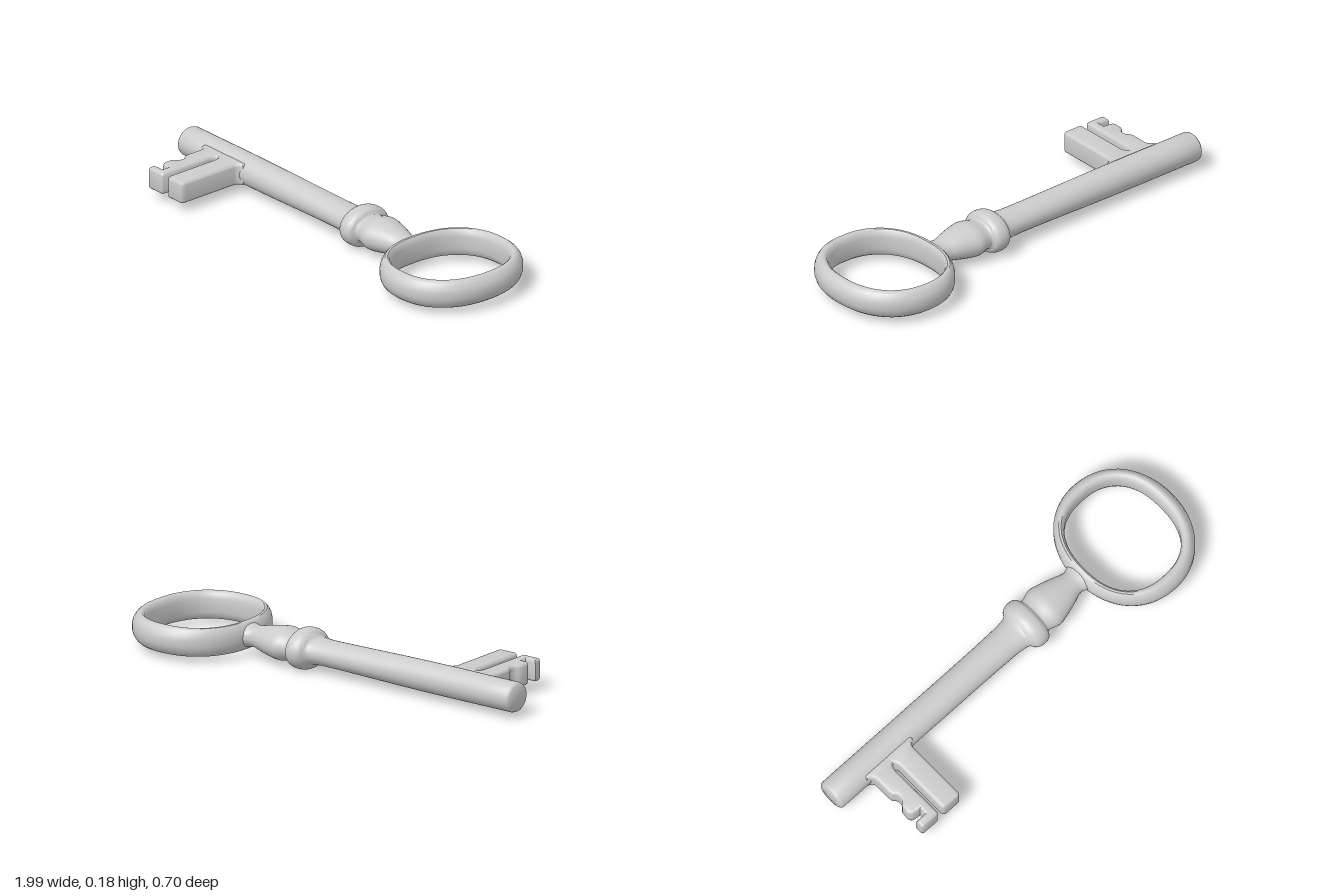
import * as THREE from 'three';
import { toCreasedNormals } from 'three/addons/utils/BufferGeometryUtils.js';

const AXIS_Y = 0.09, AXIS_Z = -0.038;
const material = new THREE.MeshStandardMaterial({ color: 0xcccccc });

// Skin a grid of cross-sections; every section is a closed loop
function skin(sections, closed) {
  const n = sections[0].length, m = sections.length, index = [];
  for (let i = 0; i < (closed ? m : m - 1); i++) {
    for (let j = 0; j < n; j++) {
      const a = i * n + j, b = i * n + (j + 1) % n;
      const c = ((i + 1) % m) * n + j, d = ((i + 1) % m) * n + (j + 1) % n;
      index.push(a, b, c, b, d, c);
    }
  }
  const geo = new THREE.BufferGeometry();
  geo.setAttribute('position', new THREE.Float32BufferAttribute(sections.flat(2), 3));
  geo.setIndex(index);
  return toCreasedNormals(geo, 0.8);
}

function part(name, geometry) {
  const mesh = new THREE.Mesh(geometry, material);
  mesh.name = name;
  return mesh;
}

// Shaft, collar and baluster neck: oval stations of [x, half height, half width]
function shaftGeometry() {
  const stations = [
    [-0.985, 0.066, 0.07], [-0.5, 0.066, 0.07], [0, 0.057, 0.073], [0.06, 0.058, 0.077],
    [0.09, 0.062, 0.085], [0.105, 0.078, 0.105], [0.125, 0.088, 0.116], [0.16, 0.089, 0.117],
    [0.178, 0.08, 0.108], [0.19, 0.063, 0.088], [0.205, 0.063, 0.088], [0.25, 0.073, 0.101],
    [0.3, 0.069, 0.091], [0.36, 0.058, 0.073], [0.415, 0.047, 0.056], [0.445, 0.05, 0.07], [0.47, 0.055, 0.09],
  ];
  const curve = new THREE.CatmullRomCurve3(stations.map(s => new THREE.Vector3(...s)));
  const steps = (stations.length - 1) * 4;
  const rows = [[-1, 0, 0], [-1, 0.056, 0.06], [-0.994, 0.063, 0.067]];
  for (let i = 0; i <= steps; i++) rows.push(curve.getPoint(i / steps).toArray());
  rows.push([0.47, 0, 0]);
  return skin(rows.map(([x, ry, rz]) => Array.from({ length: 32 }, (_, j) => {
    const a = j / 32 * Math.PI * 2;
    return [x, AXIS_Y + ry * Math.cos(a), AXIS_Z + rz * Math.sin(a)];
  })), false);
}

// Bow: slightly squared ring, rounded outside and flatter inside
function bowGeometry() {
  // [blend from outer to inner outline, height]
  const upper = [[0, 0.015], [0.1, 0.034], [0.3, 0.052], [0.5, 0.062], [0.72, 0.062], [0.9, 0.052], [1, 0.03]];
  const profile = [...upper, ...upper.map(([k, h]) => [k, -h]).reverse()];
  const power = (v, n) => Math.sign(v) * Math.abs(v) ** (2 / n);
  const lerp = THREE.MathUtils.lerp;
  return skin(Array.from({ length: 64 }, (_, i) => {
    const t = (i + 0.5) / 64 * Math.PI * 2;
    return profile.map(([k, h]) => {
      const n = lerp(2.1, 2.4, k);
      return [
        lerp(0.715, 0.706, k) + lerp(0.28, 0.22, k) * power(Math.cos(t), n),
        AXIS_Y + h,
        -0.036 + lerp(0.315, 0.25, k) * power(Math.sin(t), n),
      ];
    });
  }), true);
}

// Bit: outline in x and z, extruded through the height with softened edges
function bitGeometry(shape) {
  const bevel = 0.014;
  const geo = new THREE.ExtrudeGeometry(shape, {
    depth: 0.1 - 2 * bevel, bevelThickness: bevel, bevelSize: bevel,
    bevelOffset: -bevel, bevelSegments: 3, curveSegments: 5,
  });
  geo.rotateX(Math.PI / 2);
  geo.translate(0, 0.14 - bevel, 0);
  return toCreasedNormals(geo, 0.8);
}

function plainBit() {
  const s = new THREE.Shape();
  s.moveTo(-0.73, 0);
  s.lineTo(-0.575, 0);
  s.lineTo(-0.575, 0.025);
  s.quadraticCurveTo(-0.6, 0.03, -0.6, 0.055);
  s.lineTo(-0.6, 0.325);
  s.quadraticCurveTo(-0.6, 0.345, -0.62, 0.345);
  s.lineTo(-0.68, 0.345);
  s.quadraticCurveTo(-0.7, 0.345, -0.7, 0.325);
  s.lineTo(-0.7, 0.08);
  s.quadraticCurveTo(-0.7, 0.045, -0.73, 0.04);
  return s;
}

function notchedBit() {
  const s = new THREE.Shape();
  s.moveTo(-0.845, 0);
  s.lineTo(-0.7, 0);
  s.lineTo(-0.7, 0.04);
  s.quadraticCurveTo(-0.727, 0.045, -0.727, 0.08);
  s.lineTo(-0.727, 0.33);
  s.quadraticCurveTo(-0.727, 0.345, -0.742, 0.345);
  s.lineTo(-0.81, 0.345);
  s.quadraticCurveTo(-0.823, 0.345, -0.823, 0.33);
  s.lineTo(-0.823, 0.305);
  s.lineTo(-0.771, 0.305);
  s.lineTo(-0.771, 0.275);
  s.lineTo(-0.805, 0.272);
  s.quadraticCurveTo(-0.823, 0.265, -0.822, 0.24);
  s.bezierCurveTo(-0.822, 0.19, -0.796, 0.21, -0.796, 0.175);
  s.bezierCurveTo(-0.796, 0.15, -0.816, 0.16, -0.816, 0.13);
  s.lineTo(-0.816, 0.055);
  s.quadraticCurveTo(-0.816, 0.03, -0.845, 0.025);
  return s;
}

export function createModel() {
  const key = new THREE.Group();
  key.name = 'key';
  key.add(
    part('shaft', shaftGeometry()),
    part('bow', bowGeometry()),
    part('plainBit', bitGeometry(plainBit())),
    part('notchedBit', bitGeometry(notchedBit())),
  );
  return key;
}
